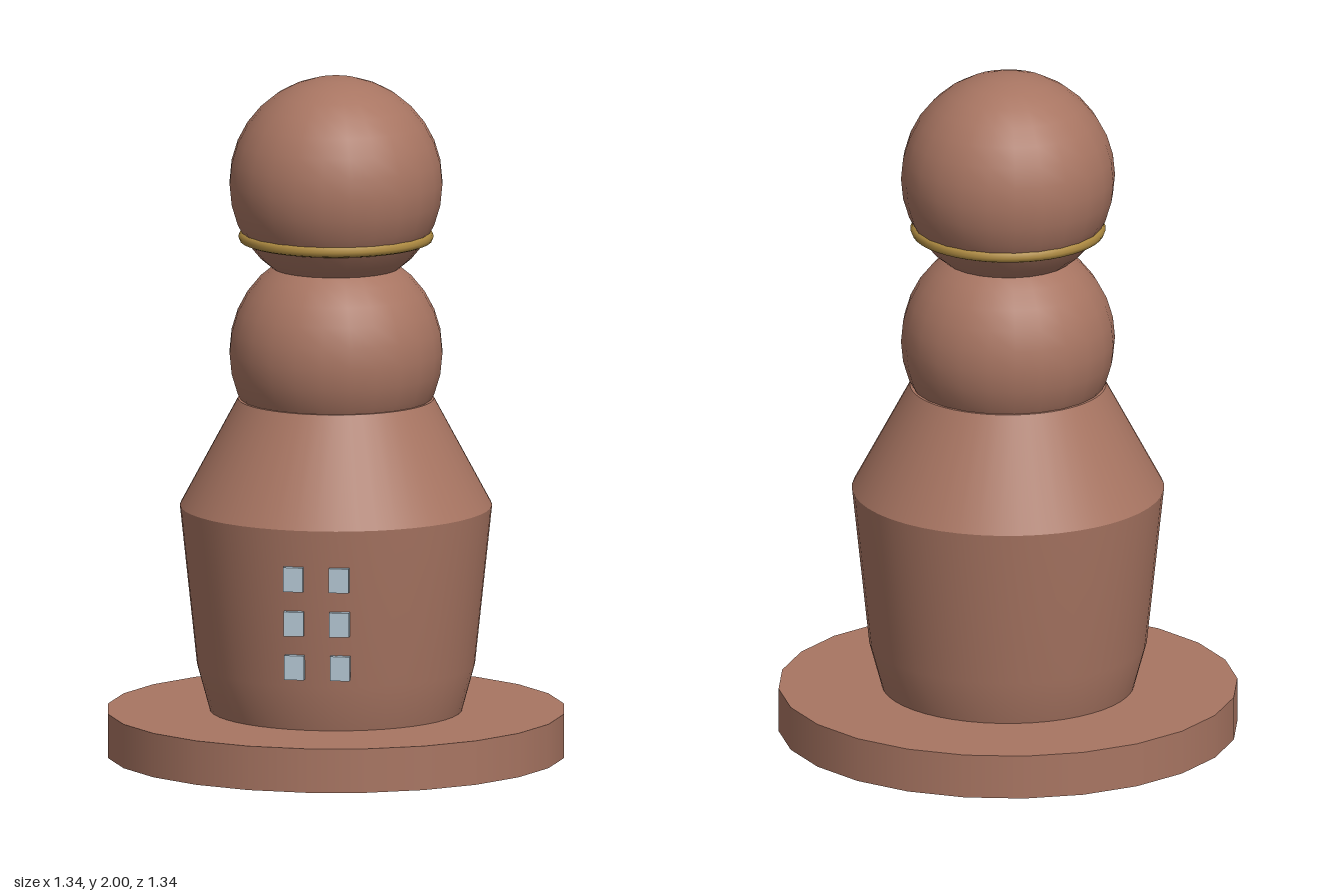
import * as THREE from 'three';

export function createModel() {
  const model = new THREE.Group();
  const clay = new THREE.MeshStandardMaterial({ color: 0xa87562 });
  clay.name = 'clay';
  const brass = new THREE.MeshStandardMaterial({ color: 0xab8840 });
  brass.name = 'brass';
  const glass = new THREE.MeshStandardMaterial({ color: 0xb4c6d3 });
  glass.name = 'paleGlass';

  function add(name, geometry, material, x = 0, y = 0, z = 0) {
    const mesh = new THREE.Mesh(geometry, material);
    mesh.name = name;
    mesh.position.set(x, y, z);
    model.add(mesh);
    return mesh;
  }

  // Round plinth
  add('base', new THREE.CylinderGeometry(0.67, 0.67, 0.13, 24), clay, 0, 0.065);

  // Flared lower body with a soft bend near the foot
  const profile = [[0.368, 0.13], [0.405, 0.265], [0.455, 0.735]]
    .map(([r, y]) => new THREE.Vector2(r, y));
  add('lowerBody', new THREE.LatheGeometry(profile, 48), clay);

  // Tapered shoulders
  add('shoulders', new THREE.CylinderGeometry(0.286, 0.455, 0.315, 48), clay, 0, 0.8925);

  // Two stacked balls
  add('chest', new THREE.SphereGeometry(0.3125, 24, 16), clay, 0, 1.1875);
  add('head', new THREE.SphereGeometry(0.3125, 24, 16), clay, 0, 1.6875);

  // Ring around the lower head
  const ring = add('collarRing', new THREE.TorusGeometry(0.268, 0.017, 8, 48), brass, 0, 1.529);
  ring.rotation.x = Math.PI / 2;

  // Three rows of paired windows, following the slope of the front
  const pane = new THREE.BoxGeometry(0.058, 0.072, 0.02);
  [[0.325, 0.419], [0.457, 0.434], [0.59, 0.446]].forEach(([y, z]) => {
    for (const side of [-1, 1]) add('window', pane, glass, side * 0.067, y, z);
  });

  return model;
}
